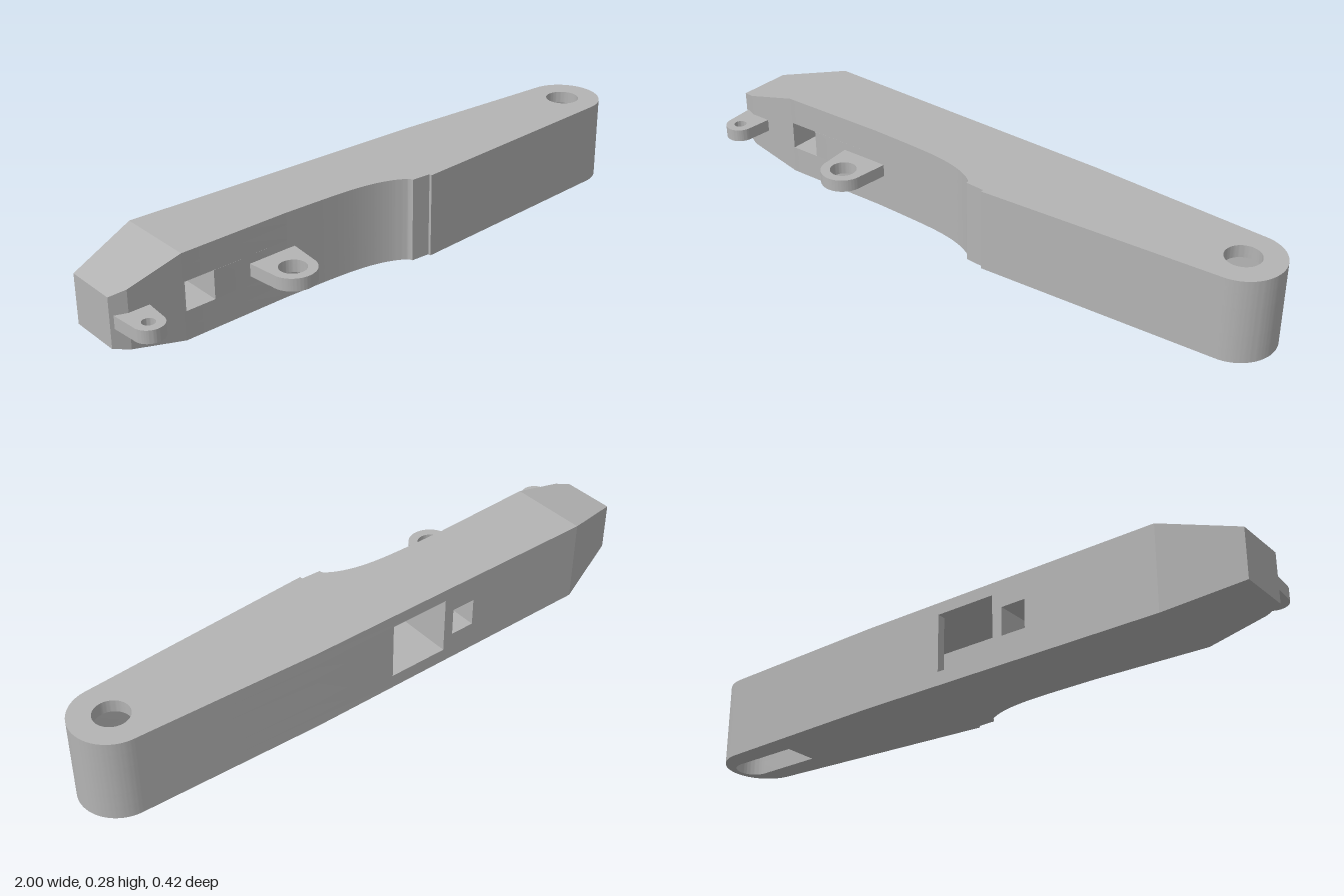
import * as THREE from 'three';
import { toCreasedNormals } from 'three/addons/utils/BufferGeometryUtils.js';

const H = 0.275;          // body height
const NOSE_X = -0.77;     // where the tapered nose begins
const PIVOT = [0.875, -0.07];

// Extrude a plan shape (shape x = model x, shape y = model z) between two heights
function slab(shape, y0, y1) {
  const g = new THREE.ExtrudeGeometry(shape, { depth: y1 - y0, bevelEnabled: false, curveSegments: 32 });
  g.rotateX(Math.PI / 2);
  g.translate(0, y1, 0);
  return g;
}

function circleHole(x, z, r) {
  const p = new THREE.Path();
  p.absarc(x, z, r, 0, Math.PI * 2, true);
  return p;
}

// Plan outline of the arm, with optional pockets cut into the front and back walls
function armOutline({ cavity, smallPocket, frontPocket }) {
  const s = new THREE.Shape();
  const line = pts => pts.forEach(p => s.lineTo(p[0], p[1]));
  s.moveTo(NOSE_X, -0.213);
  if (smallPocket) line([[-0.327, -0.213], [-0.327, -0.06], [-0.244, -0.06], [-0.244, -0.213]]);
  if (cavity) line([[-0.21, -0.213], [-0.21, 0.012], [0.35, 0.012], [0.35, -0.185], [-0.005, -0.185], [-0.005, -0.213]]);
  line([[0.28, -0.213], [0.87, -0.195]]);
  s.absarc(PIVOT[0], PIVOT[1], 0.125, -Math.PI / 2, 1.487, false);
  line([[0.095, 0.117], [0.095, 0.107], [0.03, 0.105]]);
  s.splineThru([[0.02, 0.088], [-0.03, 0.063], [-0.1, 0.046], [-0.2, 0.038], [-0.4, 0.037]]
    .map(p => new THREE.Vector2(p[0], p[1])));
  if (frontPocket) line([[-0.665, 0.049], [-0.665, -0.1], [-0.765, -0.1], [-0.765, 0.053]]);
  line([[NOSE_X, 0.053]]);
  return s;
}

// Long slot under the pivot end
function slotHole() {
  const p = new THREE.Path();
  p.moveTo(0.7, -0.125);
  p.lineTo(0.7, -0.015);
  p.lineTo(0.925, -0.015);
  p.absarc(0.925, PIVOT[1], 0.055, Math.PI / 2, -Math.PI / 2, true);
  p.lineTo(0.7, -0.125);
  return p;
}

// Mounting lug: tapered tab with a round end and a hole
function lugShape(x, z, r, halfTop, hole) {
  const s = new THREE.Shape();
  s.moveTo(x - halfTop, 0.03);
  s.lineTo(x + halfTop, 0.03);
  s.lineTo(x + r, z);
  s.absarc(x, z, r, 0, Math.PI, false);
  s.lineTo(x - halfTop, 0.03);
  s.holes.push(circleHole(x, z, hole));
  return s;
}

export function createModel() {
  const model = new THREE.Group();
  model.name = 'arm';
  const grey = new THREE.MeshStandardMaterial({ color: 0xb4b4b4 });
  grey.name = 'grey';
  const add = (name, geometry) => {
    const m = new THREE.Mesh(toCreasedNormals(geometry, 0.35), grey);
    m.name = name;
    model.add(m);
  };

  // Body in layers, so that the wall pockets open at their own heights
  const layers = [
    ['bottomLayer', 0, 0.045, {}],
    ['lowerLayer', 0.045, 0.092, { cavity: true }],
    ['middleLayer', 0.092, 0.185, { cavity: true, smallPocket: true, frontPocket: true }],
    ['upperLayer', 0.185, 0.235, { cavity: true }],
    ['topLayer', 0.235, H, {}],
  ];
  for (const [name, y0, y1, cuts] of layers) {
    const s = armOutline(cuts);
    s.holes.push(name === 'topLayer' ? circleHole(PIVOT[0], PIVOT[1], 0.055) : slotHole());
    add(name, slab(s, y0, y1));
  }

  // Nose: plan shape whose height shrinks towards its tip
  const noseShape = new THREE.Shape([
    [-1, -0.135], [NOSE_X, -0.213], [NOSE_X, 0.053], [-0.95, 0.06], [-1, 0.043],
  ].map(p => new THREE.Vector2(p[0], p[1])));
  const nose = slab(noseShape, 0, H);
  const pos = nose.attributes.position;
  for (let i = 0; i < pos.count; i++) {
    const t = (NOSE_X - pos.getX(i)) / (NOSE_X + 1);
    pos.setY(i, H / 2 + (pos.getY(i) - H / 2) * (1 - 0.42 * t));
  }
  add('nose', nose);

  // Front lugs
  add('smallLug', slab(lugShape(-0.935, 0.135, 0.047, 0.055, 0.02), 0.118, 0.159));
  add('largeLug', slab(lugShape(-0.455, 0.137, 0.073, 0.084, 0.043), 0.118, 0.159));

  return model;
}
